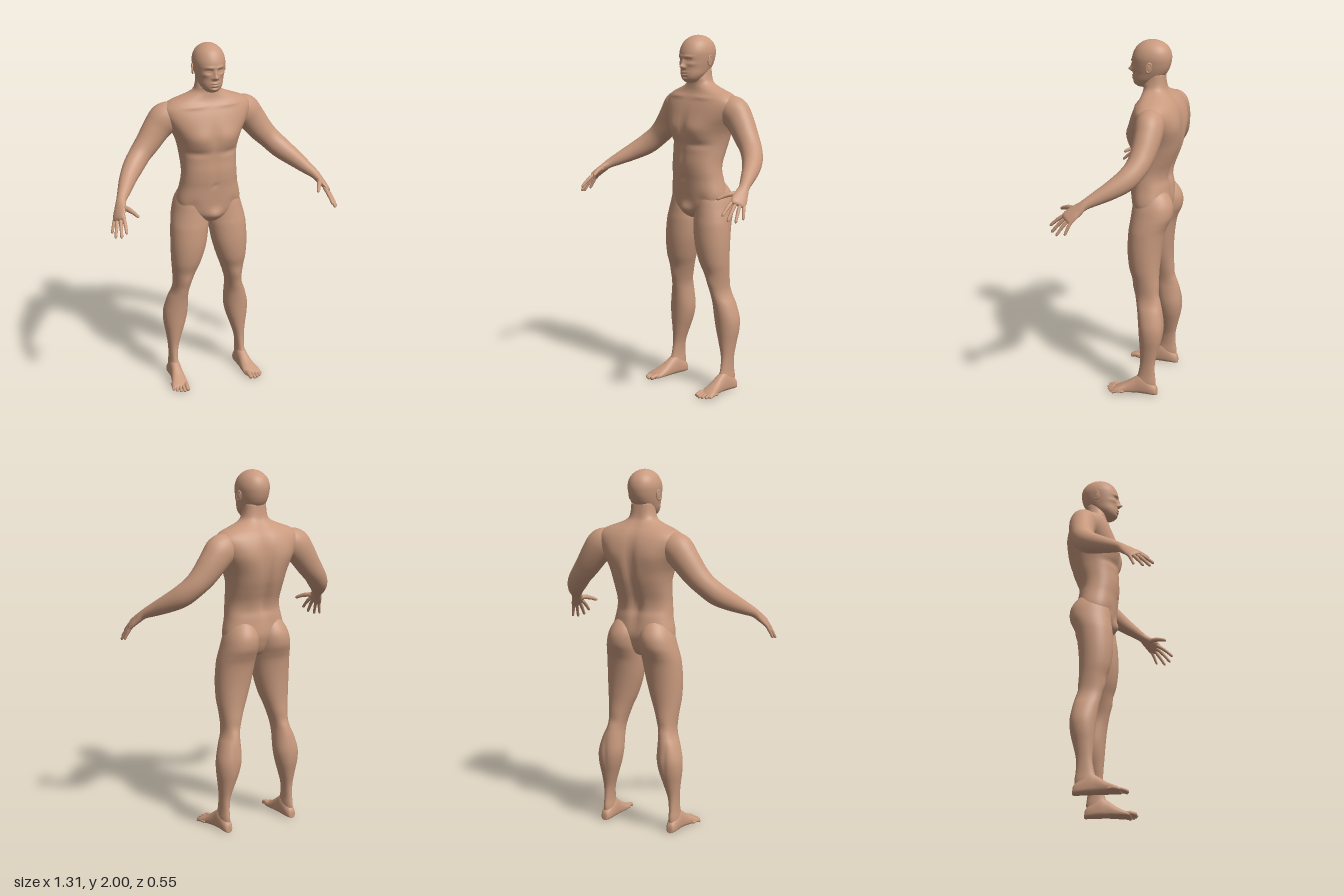
import * as THREE from 'three';

const skin = new THREE.MeshStandardMaterial({ color: 0xc99a7e });
skin.name = 'skin';

// Catmull-Rom through rows of numbers, with `steps` samples per interval
function smoothRows(rows, steps) {
  const out = [], last = rows.length - 1;
  for (let i = 0; i <= last * steps; i++) {
    const k = Math.min(Math.floor(i / steps), last - 1), t = i / steps - k;
    const [p, a, b, n] = [-1, 0, 1, 2].map((d) => rows[Math.min(last, Math.max(0, k + d))]);
    out.push(a.map((v, j) => v + 0.5 * t * (b[j] - p[j]
      + t * (2 * p[j] - 5 * v + 4 * b[j] - n[j] + t * (3 * (v - b[j]) + n[j] - p[j])))));
  }
  return out;
}

// Closed skin over rings; place(row, cos, sin, tangent) gives each point
function loft(rows, place, segs, steps) {
  const rings = smoothRows(rows, steps), pos = [], idx = [], n = rings.length;
  rings.forEach((row, i) => {
    const p = rings[Math.max(0, i - 1)], q = rings[Math.min(n - 1, i + 1)];
    const tangent = new THREE.Vector3(q[0] - p[0], q[1] - p[1], q[2] - p[2]).normalize();
    for (let j = 0; j < segs; j++) {
      const a = (j / segs) * Math.PI * 2;
      pos.push(...place(row, Math.cos(a), Math.sin(a), tangent));
    }
  });
  for (let i = 0; i < n - 1; i++) for (let j = 0; j < segs; j++) {
    const a = i * segs + j, b = i * segs + (j + 1) % segs;
    idx.push(a, b, a + segs, b, b + segs, a + segs);
  }
  for (const start of [0, (n - 1) * segs]) {
    const c = [0, 0, 0], id = pos.length / 3;
    for (let j = 0; j < segs; j++) for (let k = 0; k < 3; k++) c[k] += pos[(start + j) * 3 + k] / segs;
    pos.push(...c);
    for (let j = 0; j < segs; j++) {
      const a = start + j, b = start + (j + 1) % segs;
      idx.push(...(start ? [a, b, id] : [b, a, id]));
    }
  }
  // Turn the faces outward by the sign of the enclosed volume
  const v = (i) => new THREE.Vector3().fromArray(pos, i * 3);
  let volume = 0;
  for (let i = 0; i < idx.length; i += 3) volume += v(idx[i]).dot(v(idx[i + 1]).cross(v(idx[i + 2])));
  if (volume < 0) idx.reverse();
  const g = new THREE.BufferGeometry();
  g.setAttribute('position', new THREE.Float32BufferAttribute(pos, 3));
  g.setIndex(idx);
  g.computeVertexNormals();
  return g;
}

function mirrored(geometry) {
  const g = geometry.clone().scale(-1, 1, 1);
  g.setIndex([...g.index.array].reverse());
  g.computeVertexNormals();
  return g;
}

const power = (v, e) => Math.sign(v) * Math.abs(v) ** e;

// Soft muscle and face relief: [x, y, width, height, depth, side], side 1 = front, -1 = back
function relief(bumps, x, y, s) {
  let z = 0;
  for (const [bx, by, w, h, d, side] of bumps) {
    const fade = Math.min(1, 2 * Math.max(0, s * side));
    z += side * d * fade * Math.exp(-(((Math.abs(x) - bx) / w) ** 2) - ((y - by) / h) ** 2);
  }
  return z;
}

// Level ring: row = [y, inner x, outer x, front z, back z]
const levelRing = (n, bumps) => ([y, x0, x1, zf, zb], c, s) => {
  const x = (x0 + x1) / 2 + ((x1 - x0) / 2) * power(c, 2 / n);
  const z = (zf + zb) / 2 + ((zf - zb) / 2) * power(s, 2 / n);
  return [x, y, z + relief(bumps, x, y, s)];
};
const centred = (rows) => rows.map(([y, w, zf, zb]) => [y, -w, w, zf, zb]);

// Ring across a path: row = [x, y, z, height radius, side radius, twist]
function limbRing([x, y, z, ra, rb, twist], c, s, t) {
  const up = new THREE.Vector3(0, 1, 0).addScaledVector(t, -t.y).normalize();
  const side = new THREE.Vector3().crossVectors(t, up);
  const u = ra * c, w = rb * s, ct = Math.cos(twist), st = Math.sin(twist);
  return new THREE.Vector3(x, y, z).addScaledVector(up, u * ct + w * st)
    .addScaledVector(side, w * ct - u * st).toArray();
}

// Finger or toe with a rounded tip
function digit(base, tip, r0, r1, arch) {
  const rows = [[0, 0.5], [0.08, 1], [0.35, 0.93], [0.5, 1.02], [0.72, 0.93], [0.9, 0.95], [0.97, 0.7], [1, 0.15]];
  return loft(rows.map(([t, k]) => {
    const r = (r0 + (r1 - r0) * t) * k;
    const p = base.map((b, i) => b + (tip[i] - b) * t);
    return [p[0], p[1] + arch * Math.sin(t * Math.PI), p[2], r, r, 0];
  }), limbRing, 12, 2);
}

export function createModel() {
  const model = new THREE.Group();
  const add = (name, g) => {
    const m = new THREE.Mesh(g, skin);
    m.name = name;
    model.add(m);
  };
  const pair = (name, g) => {
    add('left' + name, g);
    add('right' + name, mirrored(g));
  };

  // Torso and neck
  const torsoRelief = [
    [0.09, 1.49, 0.065, 0.05, 0.012, 1], [0, 1.5, 0.018, 0.08, -0.007, 1], [0.1, 1.405, 0.07, 0.018, -0.008, 1],
    [0.1, 1.665, 0.07, 0.012, 0.006, 1], [0, 1.215, 0.01, 0.011, -0.007, 1], [0, 1.3, 0.012, 0.09, -0.004, 1],
    [0, 1.04, 0.04, 0.035, 0.022, 1], [0.12, 1.1, 0.03, 0.03, -0.006, 1],
    [0, 1.42, 0.026, 0.22, -0.024, -1], [0.12, 1.55, 0.06, 0.07, 0.009, -1], [0.06, 1.28, 0.035, 0.08, 0.006, -1],
  ];
  add('torso', loft(centred([
    [0.985, 0.03, -0.06, -0.15], [1.0, 0.06, -0.035, -0.18], [1.03, 0.12, -0.018, -0.2], [1.07, 0.17, -0.01, -0.215],
    [1.12, 0.184, -0.004, -0.225], [1.2, 0.167, 0.002, -0.217], [1.25, 0.16, 0.008, -0.207], [1.3, 0.157, 0.011, -0.216],
    [1.36, 0.16, 0.008, -0.242], [1.41, 0.166, 0.01, -0.262], [1.46, 0.178, 0.016, -0.274], [1.51, 0.2, 0.015, -0.279],
    [1.56, 0.228, 0.005, -0.278], [1.61, 0.25, -0.012, -0.27], [1.65, 0.25, -0.03, -0.255], [1.68, 0.215, -0.046, -0.235],
    [1.7, 0.165, -0.054, -0.217], [1.72, 0.112, -0.058, -0.2], [1.74, 0.081, -0.06, -0.187], [1.77, 0.069, -0.06, -0.18],
    [1.82, 0.062, -0.08, -0.175],
  ]), levelRing(2.3, torsoRelief), 72, 5));

  // Head with brow, nose, lips and chin
  const face = [
    [0, 1.832, 0.011, 0.011, 0.024, 1], [0, 1.852, 0.009, 0.02, 0.012, 1], [0.013, 1.827, 0.007, 0.007, 0.008, 1],
    [0.03, 1.886, 0.026, 0.008, 0.006, 1], [0.031, 1.866, 0.017, 0.011, -0.012, 1], [0.032, 1.865, 0.011, 0.006, 0.007, 1],
    [0, 1.799, 0.02, 0.005, 0.007, 1], [0, 1.785, 0.017, 0.005, 0.007, 1], [0, 1.792, 0.024, 0.002, -0.004, 1],
    [0, 1.774, 0.02, 0.005, -0.004, 1], [0, 1.761, 0.02, 0.009, 0.006, 1], [0.052, 1.845, 0.018, 0.012, 0.005, 1],
  ];
  add('head', loft(centred([
    [1.742, 0.02, -0.028, -0.07], [1.75, 0.037, -0.014, -0.09], [1.768, 0.053, 0, -0.12], [1.79, 0.065, 0.004, -0.15],
    [1.82, 0.073, 0.004, -0.18], [1.85, 0.08, 0.006, -0.197], [1.88, 0.085, 0.008, -0.206], [1.91, 0.087, 0.006, -0.209],
    [1.94, 0.081, -0.005, -0.203], [1.965, 0.068, -0.022, -0.188], [1.985, 0.047, -0.047, -0.163],
    [1.996, 0.025, -0.074, -0.135], [2.0, 0.004, -0.1, -0.108],
  ]), levelRing(2.1, face), 96, 7));

  // Ears: a thin shell with a raised rim
  const ear = (g) => g.rotateY(Math.PI / 2 + 0.3).rotateX(-0.15).translate(0.09, 1.864, -0.11);
  pair('EarRim', ear(new THREE.TorusGeometry(0.015, 0.0045, 8, 24).scale(0.95, 1.6, 1)));
  pair('EarShell', ear(new THREE.SphereGeometry(0.015, 16, 10).scale(0.95, 1.6, 0.35)));

  // Legs, with the buttocks as their upper ends
  const legRelief = [[0.155, 0.635, 0.025, 0.03, 0.006, 1], [0.155, 0.6, 0.03, 0.03, -0.006, -1], [0.19, 0.42, 0.012, 0.08, -0.005, -1]];
  pair('Leg', loft([
    [1.2, 0.06, 0.12, -0.1, -0.185], [1.165, 0.022, 0.16, -0.05, -0.222], [1.11, 0.004, 0.188, -0.03, -0.25],
    [1.05, 0.003, 0.204, -0.022, -0.25], [1.0, 0.003, 0.215, -0.016, -0.23], [0.95, 0.006, 0.222, -0.01, -0.212],
    [0.85, 0.022, 0.226, -0.008, -0.197], [0.75, 0.052, 0.222, -0.02, -0.19], [0.68, 0.08, 0.214, -0.042, -0.19],
    [0.6, 0.108, 0.207, -0.058, -0.198], [0.55, 0.118, 0.215, -0.068, -0.208], [0.5, 0.118, 0.236, -0.078, -0.22],
    [0.42, 0.117, 0.258, -0.088, -0.231], [0.35, 0.13, 0.258, -0.094, -0.225], [0.28, 0.153, 0.247, -0.1, -0.208],
    [0.2, 0.178, 0.237, -0.104, -0.19], [0.13, 0.186, 0.235, -0.094, -0.19], [0.08, 0.184, 0.238, -0.08, -0.196],
    [0.03, 0.186, 0.236, -0.09, -0.19],
  ], levelRing(2.1, legRelief), 44, 4));

  // Feet: row = [z, centre x, half width, top y]
  pair('Foot', loft([
    [-0.205, 0.212, 0.01, 0.03], [-0.199, 0.212, 0.022, 0.055], [-0.17, 0.211, 0.031, 0.085], [-0.12, 0.211, 0.034, 0.12],
    [-0.08, 0.213, 0.035, 0.102], [-0.03, 0.218, 0.042, 0.067], [0.01, 0.225, 0.049, 0.045],
    [0.035, 0.228, 0.048, 0.032], [0.05, 0.228, 0.04, 0.022],
  ], ([z, cx, w, top], c, s) => {
    const mid = 0.006 + top * 0.35;
    return [cx + w * power(c, 0.85), mid + (s > 0 ? (top - mid) * s : (mid - 0.004) * power(s, 0.6)), z];
  }, 32, 4));
  [[0.193, 0.199, 0.084, 0.0125], [0.214, 0.22, 0.088, 0.0095], [0.232, 0.24, 0.081, 0.009],
    [0.248, 0.259, 0.068, 0.0085], [0.262, 0.274, 0.048, 0.008]].forEach(([x0, x1, z, r], i) =>
    pair('Toe' + (i + 1), digit([x0, r + 0.008, z - 0.07], [x1, r, z], r * 1.1, r, 0.006)));

  // Arms, from the shoulder through to the palm
  pair('Arm', loft([
    [0.15, 1.6, -0.15, 0.04, 0.05, 0], [0.19, 1.605, -0.153, 0.072, 0.072, 0], [0.235, 1.585, -0.16, 0.088, 0.078, 0],
    [0.28, 1.535, -0.163, 0.08, 0.073, 0], [0.335, 1.463, -0.155, 0.07, 0.066, 0], [0.388, 1.405, -0.138, 0.062, 0.06, 0],
    [0.44, 1.353, -0.1, 0.06, 0.056, 0], [0.49, 1.31, -0.04, 0.05, 0.047, 0], [0.535, 1.27, 0.03, 0.037, 0.036, 0.1],
    [0.568, 1.24, 0.083, 0.026, 0.028, 0.35], [0.585, 1.215, 0.115, 0.021, 0.035, 0.62], [0.6, 1.19, 0.145, 0.017, 0.042, 0.62],
    [0.612, 1.17, 0.165, 0.013, 0.04, 0.62], [0.617, 1.162, 0.173, 0.005, 0.03, 0.62],
  ], limbRing, 40, 5));

  // Fingers and thumb
  const fingers = {
    Thumb: [[0.583, 1.215, 0.122], [0.52, 1.188, 0.234], 0.017, 0.009, 0.01],
    IndexFinger: [[0.587, 1.191, 0.168], [0.598, 1.115, 0.266], 0.0115, 0.0085, 0.006],
    MiddleFinger: [[0.598, 1.187, 0.156], [0.622, 1.088, 0.25], 0.0115, 0.0085, 0.006],
    RingFinger: [[0.609, 1.177, 0.145], [0.645, 1.08, 0.216], 0.011, 0.008, 0.006],
    LittleFinger: [[0.618, 1.172, 0.132], [0.65, 1.09, 0.166], 0.0105, 0.0075, 0.005],
  };
  for (const [name, args] of Object.entries(fingers)) pair(name, digit(...args));

  return model;
}
